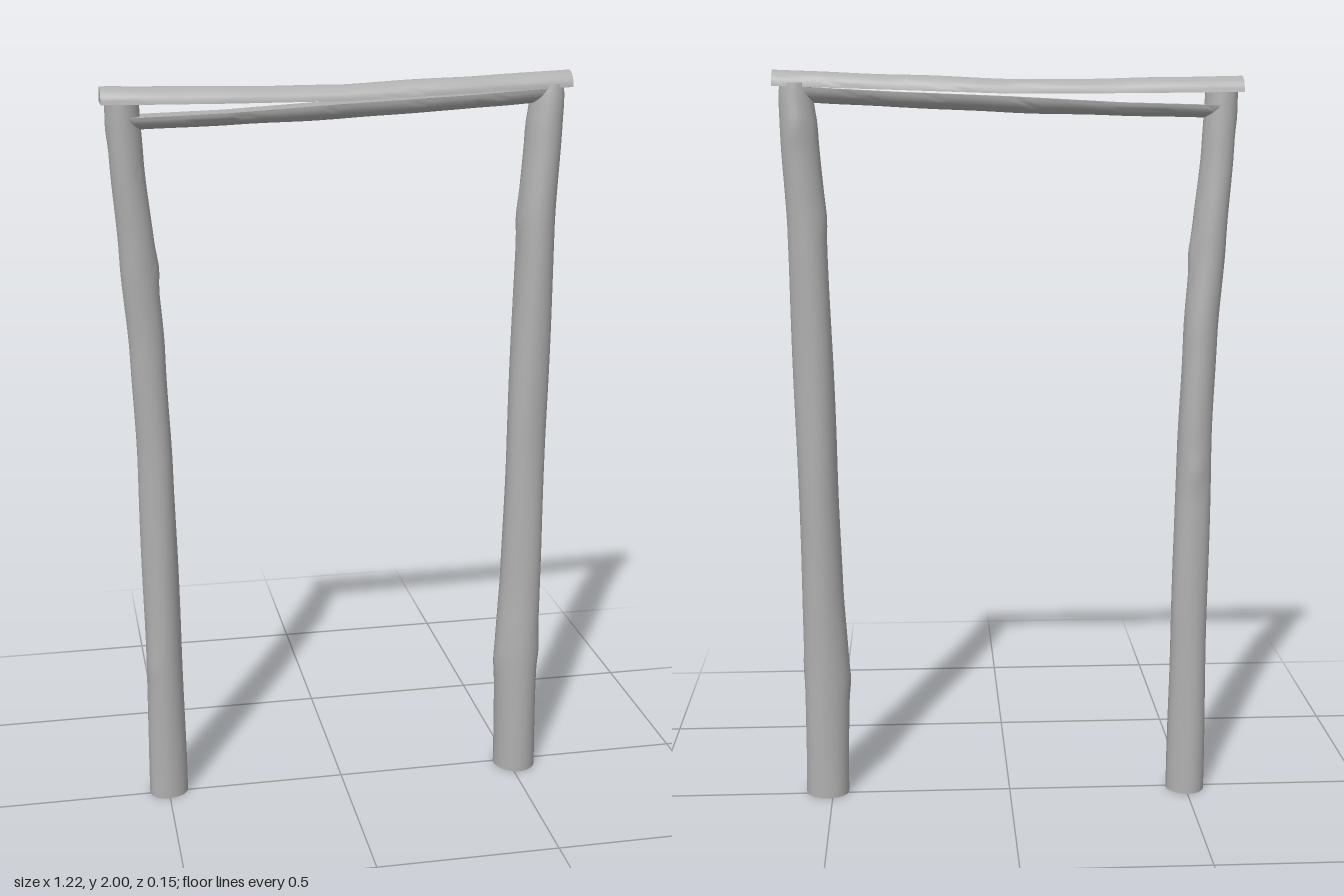
import * as THREE from 'three';
import { toCreasedNormals } from 'three/addons/utils/BufferGeometryUtils.js';

const wood = new THREE.MeshStandardMaterial({ color: 0xb0b0b0 });
wood.name = 'plain grey wood';

// Closed solid from rings of points; ring order makes along x tangent point outward
function loft(rows, sides, pointAt, centreAt, crease) {
  const pos = [], idx = [];
  for (let i = 0; i <= rows; i++)
    for (let k = 0; k < sides; k++) pos.push(...pointAt(i / rows, (k / sides) * Math.PI * 2));
  for (let i = 0; i < rows; i++)
    for (let k = 0; k < sides; k++) {
      const a = i * sides + k, b = i * sides + (k + 1) % sides;
      idx.push(a, a + sides, b, b, a + sides, b + sides);
    }
  const end = rows * sides, c = pos.length / 3;
  pos.push(...centreAt(0), ...centreAt(1));
  for (let k = 0; k < sides; k++) {
    const n = (k + 1) % sides;
    idx.push(c, k, n, c + 1, end + n, end + k);
  }
  const g = new THREE.BufferGeometry();
  g.setAttribute('position', new THREE.Float32BufferAttribute(pos, 3));
  g.setIndex(idx);
  return toCreasedNormals(g, crease);
}

// Smooth curve through stations [position, centreX, centreZ, radiusX, radiusZ] at position s
function sample(st, s) {
  let i = 0;
  while (i < st.length - 2 && s > st[i + 1][0]) i++;
  const t = THREE.MathUtils.clamp((s - st[i][0]) / (st[i + 1][0] - st[i][0]), 0, 1);
  const e = t * 0.5 + t * t * (3 - 2 * t) * 0.5;
  return st[i].map((v, j) => v + (st[i + 1][j] - v) * e);
}

// Crooked upright log; knots are [height, angle, size] with angle from +x towards +z
function post(name, st, knots, seed) {
  const y0 = st[0][0], y1 = st[st.length - 1][0];
  const point = (t, a) => {
    const y = y0 + (y1 - y0) * t, [, cx, cz, rx, rz] = sample(st, y);
    let f = 1 + 0.025 * Math.sin(3 * a + 4 * y + seed) + 0.02 * Math.sin(2 * a - 9 * y + seed * 2);
    for (const [ky, ka, size] of knots) {
      const d = Math.atan2(Math.sin(a - ka), Math.cos(a - ka));
      f += size * Math.exp(-(((y - ky) / 0.04) ** 2) - (d / 0.45) ** 2);
    }
    return [cx + Math.cos(a) * rx * f, y, cz + Math.sin(a) * rz * f];
  };
  const centre = (t) => {
    const s = sample(st, t ? y1 : y0);
    return [s[1], s[0], s[2]];
  };
  const m = new THREE.Mesh(loft(80, 24, point, centre, 0.9), wood);
  m.name = name;
  return m;
}

// Split log, stations [x, flatFaceY, centreZ, halfWidth, depth]; up = 1 rounds the top, -1 the underside
function splitRail(name, st, up, seed) {
  const x0 = st[0][0], x1 = st[st.length - 1][0];
  const point = (t, a) => {
    const [x, y, z, w, h] = sample(st, x0 + (x1 - x0) * t);
    const f = 1 + 0.02 * Math.sin(11 * x + seed) + 0.015 * Math.sin(23 * x + 2 * a);
    const s = Math.sin(a) * up;
    return [x, y + up * (s > 0 ? h * f * s : 0), z + Math.cos(a) * w * f];
  };
  const centre = (t) => {
    const [x, y, z, , h] = sample(st, t ? x1 : x0);
    return [x, y + up * h * 0.4, z];
  };
  const m = new THREE.Mesh(loft(48, 28, point, centre, 0.8), wood);
  m.name = name;
  return m;
}

export function createModel() {
  const g = new THREE.Group();
  g.name = 'logGateway';

  // Uprights
  g.add(post('rightPost', [
    [0, -0.5, -0.01, 0.053, 0.052], [0.5, -0.5, -0.005, 0.05, 0.05],
    [1.0, -0.505, 0.002, 0.047, 0.047], [1.3, -0.516, 0.008, 0.046, 0.046],
    [1.55, -0.534, 0.016, 0.046, 0.046], [1.8, -0.553, 0.022, 0.044, 0.044],
    [1.942, -0.559, 0.024, 0.043, 0.043],
  ], [[1.52, 0, 0.14], [1.88, Math.PI, 0.08], [0.93, -1.6, 0.1], [0.4, 2.4, 0.08]], 1));
  g.add(post('leftPost', [
    [0, 0.515, 0.018, 0.06, 0.058], [0.35, 0.511, 0.018, 0.062, 0.058],
    [0.6, 0.517, 0.012, 0.056, 0.056], [1.0, 0.521, 0.003, 0.054, 0.053],
    [1.6, 0.532, -0.007, 0.052, 0.053], [1.85, 0.547, -0.014, 0.048, 0.053],
    [1.93, 0.553, -0.014, 0.044, 0.05], [1.966, 0.554, -0.015, 0.039, 0.046],
  ], [[1.86, -1.5, 0.08], [0.33, Math.PI, 0.06], [0.37, 0.3, 0.07], [1.62, 3.4, 0.06]], 3));

  // Upper half of the split lintel, rounded on top
  g.add(splitRail('upperRail', [
    [-0.612, 1.941, 0.023, 0.046, 0.041], [-0.3, 1.938, 0.02, 0.046, 0.038],
    [0, 1.937, 0.012, 0.045, 0.037], [0.3, 1.947, 0.002, 0.043, 0.039],
    [0.61, 1.957, -0.017, 0.042, 0.041],
  ], 1, 0));

  // Lower half, rounded underneath and closing up towards the left post
  g.add(splitRail('lowerRail', [
    [-0.55, 1.907, 0.023, 0.041, 0.033], [-0.3, 1.914, 0.02, 0.042, 0.035],
    [0, 1.93, 0.012, 0.043, 0.041], [0.3, 1.942, 0.002, 0.042, 0.04],
    [0.55, 1.955, -0.014, 0.04, 0.037],
  ], -1, 2));
  return g;
}
